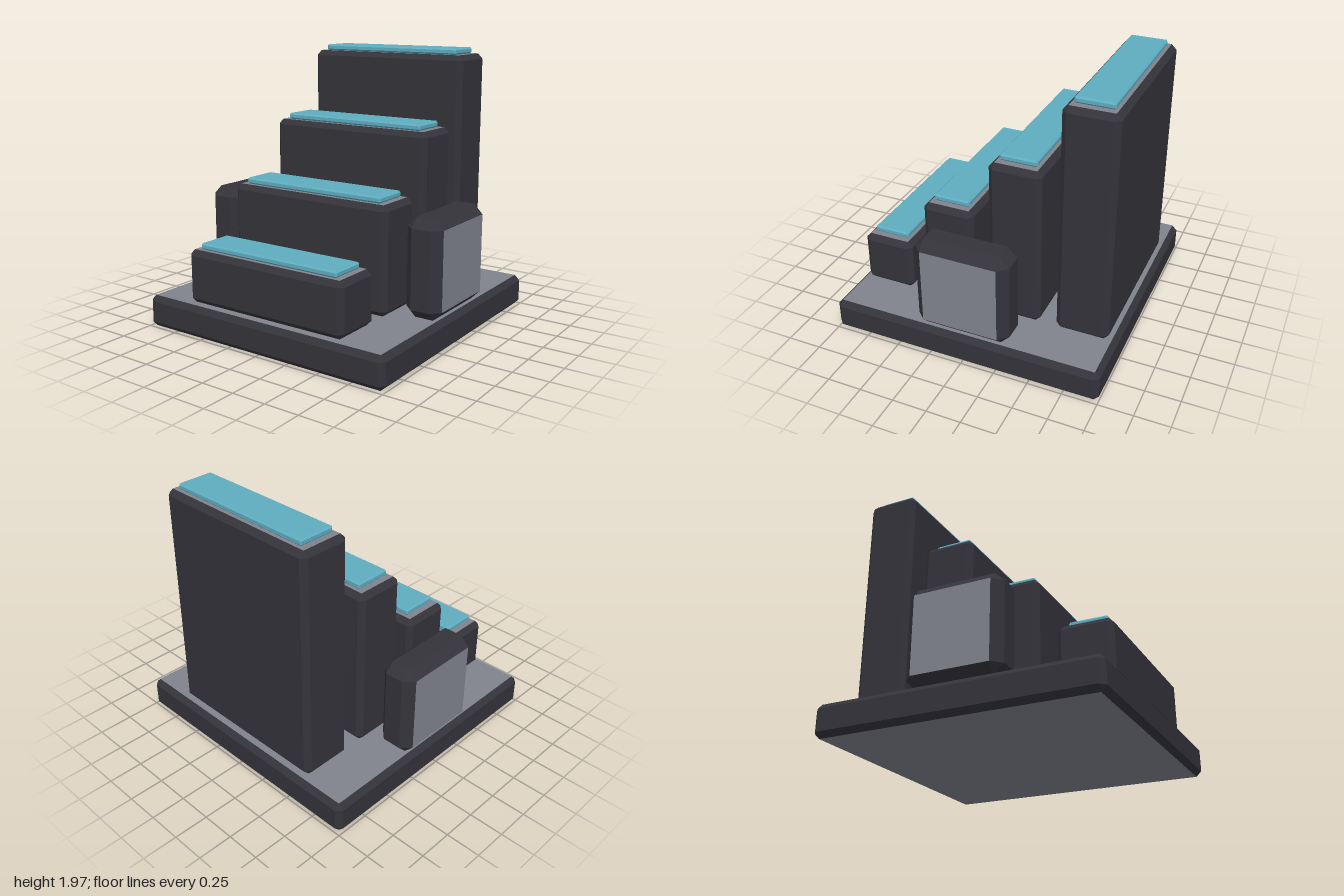
import * as THREE from 'three';

const mat = (name, color) => {
  const m = new THREE.MeshStandardMaterial({ color });
  m.name = name;
  return m;
};

// Box with every edge and corner chamfered by b; the two flat faces across
// the accent axis (0 = x, 1 = y, 2 = z) use the second material group.
function chamferBox(min, max, b, accentAxis) {
  const half = max.map((v, i) => (v - min[i]) / 2);
  const mid = max.map((v, i) => (v + min[i]) / 2);
  // Corner point lying on the face of the given axis
  const point = (s, axis) => new THREE.Vector3(...s.map((v, i) => v * (half[i] - (i === axis ? 0 : b))));
  const plain = [], accented = [];
  const add = (list, pts) => {
    const n = pts[1].clone().sub(pts[0]).cross(pts[2].clone().sub(pts[0]));
    const c = pts.reduce((a, p) => a.add(p), new THREE.Vector3());
    if (n.dot(c) < 0) pts.reverse();
    for (let i = 1; i < pts.length - 1; i++) {
      for (const p of [pts[0], pts[i], pts[i + 1]]) list.push(p.x + mid[0], p.y + mid[1], p.z + mid[2]);
    }
  };
  const signs = (axis, a, u, v) => {
    const s = [0, 0, 0];
    s[axis] = a; s[(axis + 1) % 3] = u; s[(axis + 2) % 3] = v;
    return s;
  };
  for (let axis = 0; axis < 3; axis++) {
    for (const a of [-1, 1]) {
      // Flat face
      add(axis === accentAxis ? accented : plain,
        [[-1, -1], [1, -1], [1, 1], [-1, 1]].map(([u, v]) => point(signs(axis, a, u, v), axis)));
      // Edge strips shared with the next axis
      for (const u of [-1, 1]) {
        const p = signs(axis, a, u, -1), q = signs(axis, a, u, 1), next = (axis + 1) % 3;
        add(plain, [point(p, axis), point(q, axis), point(q, next), point(p, next)]);
      }
    }
  }
  // Corner triangles
  for (const x of [-1, 1]) for (const y of [-1, 1]) for (const z of [-1, 1]) {
    add(plain, [0, 1, 2].map(axis => point([x, y, z], axis)));
  }
  const g = new THREE.BufferGeometry();
  g.setAttribute('position', new THREE.Float32BufferAttribute([...plain, ...accented], 3));
  g.addGroup(0, plain.length / 3, 0);
  g.addGroup(plain.length / 3, accented.length / 3, 1);
  g.computeVertexNormals();
  return g;
}

export function createModel() {
  const model = new THREE.Group();
  model.name = 'barChartStand';
  const dark = mat('charcoal', 0x34333a);
  const grey = mat('grey', 0x80838c);
  const teal = mat('teal', 0x5eadc0);
  const Y = 1, Z = 2;

  const addBox = (name, min, max, bevel, materials, accentAxis) => {
    const mesh = new THREE.Mesh(chamferBox(min, max, bevel, accentAxis), materials);
    mesh.name = name;
    model.add(mesh);
  };

  // Base slab, grey above and below
  const floor = 0.232;
  addBox('base', [-1, 0, -1], [1, floor, 1], 0.038, [dark, grey], Y);

  // Four rising bars with teal caps
  [0.617, 1.0, 1.423, 1.923].forEach((top, i) => {
    const x = -0.75 + i * 0.5;
    addBox(`bar${i + 1}`, [x - 0.19, floor, -0.655], [x + 0.19, top, 0.655], 0.038, [dark, grey], Y);
    addBox(`barCap${i + 1}`, [x - 0.134, top, -0.577], [x + 0.134, top + 0.045, 0.577], 0.011, [teal, teal], Y);
  });

  // Blank plaques at the front and back edges
  addBox('frontPlaque', [-0.345, floor, 0.73], [0.345, 0.925, 1], 0.067, [dark, grey], Z);
  addBox('backPlaque', [-0.345, floor, -1], [0.345, 0.925, -0.73], 0.067, [dark, grey], Z);

  return model;
}
